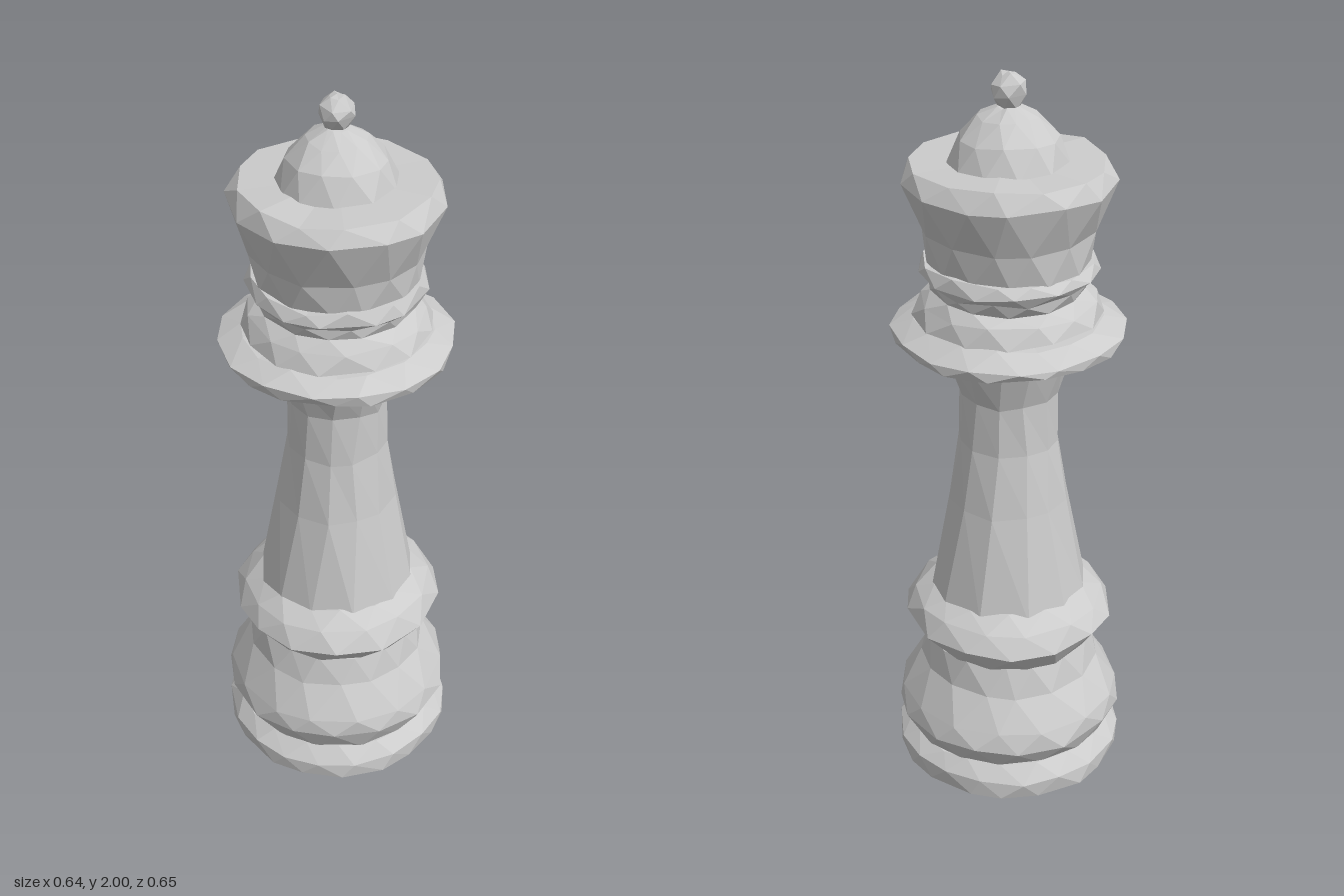
import * as THREE from 'three';

const material = new THREE.MeshStandardMaterial({ color: 0xcccccc, flatShading: true });

// Repeatable noise in -1..1, keyed by side and ring
const noise = (i, j, seed) => {
  const s = Math.sin(i * 12.9898 + j * 78.233 + seed * 37.719) * 43758.5453;
  return (s - Math.floor(s)) * 2 - 1;
};

// Hand-cut turned part: each ring is turned by `twist` sides against the one below
function turned(name, sides, twist, profile, seed) {
  const points = profile.map(([r, y]) => new THREE.Vector2(r, y));
  const lathe = new THREE.LatheGeometry(points, sides);
  const pos = lathe.attributes.position;
  const step = (Math.PI * 2) / sides;
  for (let i = 0; i <= sides; i++) {
    for (let j = 0; j < profile.length; j++) {
      const [r, y] = profile[j];
      const k = i % sides;
      const angle = (i + twist * j + 0.15 * noise(k, j, seed)) * step;
      const radius = r * (1 + 0.015 * noise(k, j, seed + 1));
      const lift = y === 0 || r === 0 ? 0 : 0.006 * noise(k, j, seed + 2);
      pos.setXYZ(i * profile.length + j, radius * Math.sin(angle), y + lift, radius * Math.cos(angle));
    }
  }
  const geometry = lathe.toNonIndexed();
  geometry.computeVertexNormals();
  const mesh = new THREE.Mesh(geometry, material);
  mesh.name = name;
  return mesh;
}

export function createModel() {
  const group = new THREE.Group();
  group.name = 'chessQueen';

  group.add(
    // Flat foot
    turned('foot', 18, 0.5, [
      [0, 0], [0.318, 0], [0.322, 0.05], [0.285, 0.09], [0, 0.1],
    ], 1),
    // Rounded base
    turned('baseBulge', 15, 0.5, [
      [0, 0.07], [0.278, 0.08], [0.318, 0.155], [0.306, 0.205], [0.252, 0.3], [0.23, 0.385], [0, 0.4],
    ], 2),
    // Ring above the base
    turned('lowerCollar', 14, 0.5, [
      [0, 0.36], [0.228, 0.375], [0.293, 0.46], [0.262, 0.51], [0.212, 0.55], [0, 0.56],
    ], 3),
    // Long tapering stem, flaring at the top
    turned('stem', 12, 0.1, [
      [0, 0.52], [0.22, 0.53], [0.165, 0.82], [0.137, 1.0], [0.135, 1.14], [0.175, 1.26], [0.18, 1.29], [0, 1.29],
    ], 4),
    // Wide disc under the head
    turned('upperCollar', 16, 0.5, [
      [0, 1.27], [0.17, 1.268], [0.3, 1.302], [0.308, 1.328], [0.25, 1.36], [0, 1.38],
    ], 5),
    // Stacked neck rings
    turned('neckRings', 13, 0.5, [
      [0, 1.34], [0.252, 1.365], [0.232, 1.41], [0.202, 1.435], [0.212, 1.465],
      [0.236, 1.49], [0.222, 1.52], [0, 1.53],
    ], 6),
    // Flared crown
    turned('crown', 13, 0.5, [
      [0, 1.49], [0.212, 1.51], [0.226, 1.6], [0.276, 1.73], [0.25, 1.775], [0, 1.782],
    ], 7),
    // Domed cap
    turned('dome', 11, 0.5, [
      [0, 1.75], [0.158, 1.77], [0.128, 1.84], [0.078, 1.89], [0.03, 1.915], [0, 1.92],
    ], 8),
    // Finial bead
    turned('finial', 6, 0.5, [
      [0, 1.905], [0.028, 1.915], [0.046, 1.945], [0.044, 1.972], [0.02, 1.996], [0, 2],
    ], 9),
  );
  return group;
}
